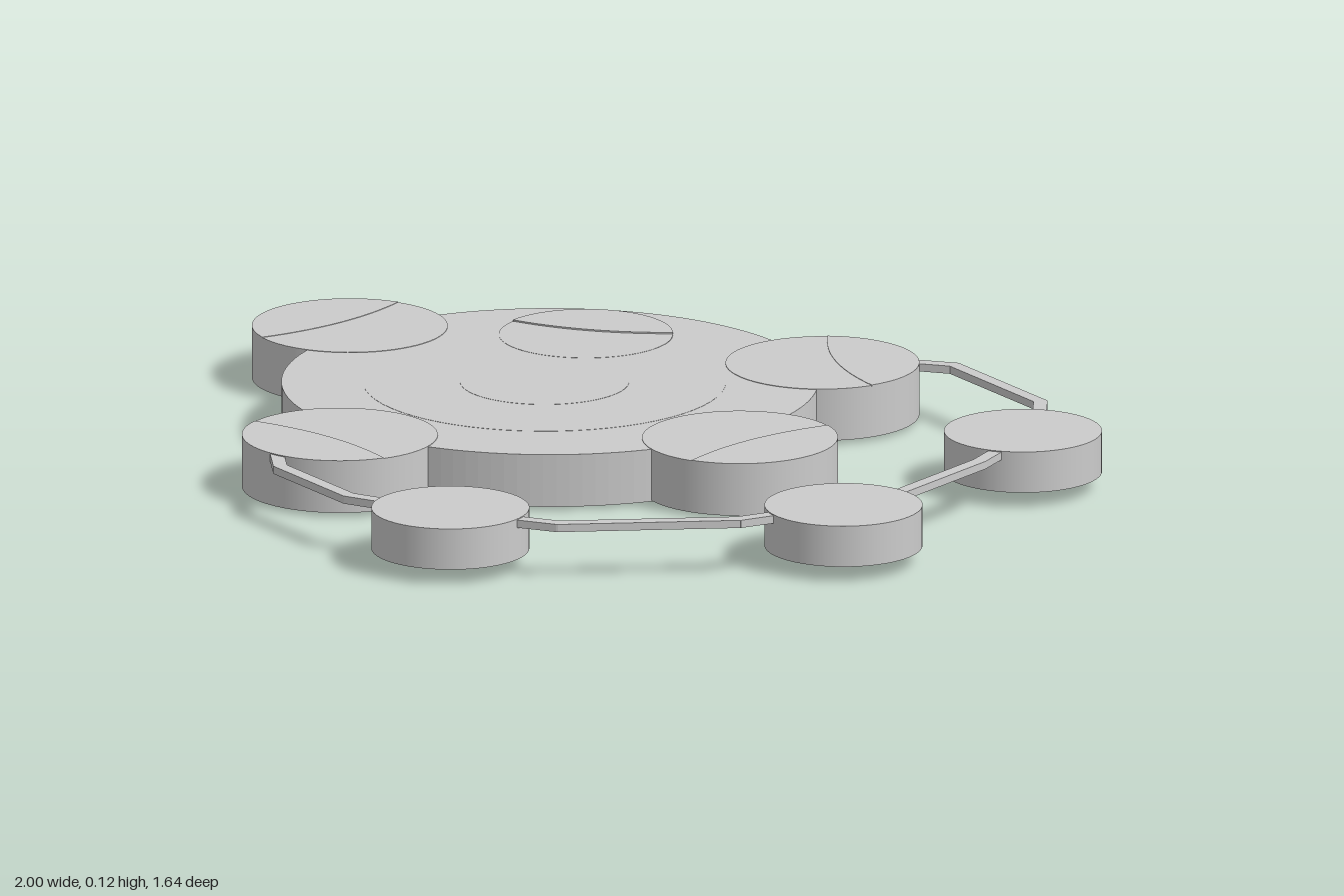
import * as THREE from 'three';

const TOP = 0.116;
const BODY = { x: -0.23, z: -0.13, r: 0.54 };
const POCKET = { x: -0.43, z: -0.42, r: 0.175 };

export function createModel() {
  const group = new THREE.Group();
  const material = new THREE.MeshStandardMaterial({ color: 0xcccccc });

  function add(name, geometry) {
    const mesh = new THREE.Mesh(geometry, material);
    mesh.name = name;
    group.add(mesh);
    return mesh;
  }

  function disc(name, x, z, r, y0, y1) {
    add(name, new THREE.CylinderGeometry(r, r, y1 - y0, 64)).position.set(x, (y0 + y1) / 2, z);
  }

  // Flat plate from an outline in x and z
  function plate(name, shape, y0, y1) {
    const g = new THREE.ExtrudeGeometry(shape, { depth: y1 - y0, bevelEnabled: false, curveSegments: 64 });
    g.rotateX(Math.PI / 2).translate(0, y1, 0);
    add(name, g);
  }

  // Outer end of a round lobe, closed by a curve that bows inward
  function cap(name, x, z, r, angle, y0, y1) {
    const half = Math.acos(0.29);
    const shape = new THREE.Shape();
    shape.absarc(x, z, r, angle - half, angle + half, false);
    shape.quadraticCurveTo(x, z, x + r * Math.cos(angle - half), z + r * Math.sin(angle - half));
    plate(name, shape, y0, y1);
  }

  // Round body with a pocket open at the bottom
  const body = new THREE.Shape().absarc(BODY.x, BODY.z, BODY.r, 0, Math.PI * 2, false);
  body.holes.push(new THREE.Path().absarc(POCKET.x, POCKET.z, POCKET.r, 0, Math.PI * 2, true));
  plate('body', body, 0.006, TOP - 0.001);
  disc('pocketRoof', POCKET.x, POCKET.z, POCKET.r, 0.045, TOP);
  cap('pocketCap', POCKET.x, POCKET.z, POCKET.r, -2.1, TOP - 0.002, TOP + 0.003);

  // Belly plate, trimmed where the pocket crosses it
  const cx = -0.235, cz = -0.12, outline = [];
  for (let i = 0; i < 96; i++) {
    const a = (i / 96) * Math.PI * 2, c = Math.cos(a), s = Math.sin(a);
    const dx = POCKET.x - cx, dz = POCKET.z - cz;
    const along = dx * c + dz * s;
    const gap = POCKET.r ** 2 - (dx * dx + dz * dz - along * along);
    const r = gap > 0 && along > 0 ? Math.min(0.365, along - Math.sqrt(gap)) : 0.365;
    outline.push(new THREE.Vector2(cx + r * c, cz + r * s));
  }
  plate('bellyPlate', new THREE.Shape(outline), 0, 0.02);

  // Nearly flush rounds on the back
  disc('backPlate', cx, cz, 0.365, 0.1, TOP - 0.0005);
  disc('backCentre', cx, cz, 0.17, 0.1, TOP);

  // Four lobes with their end caps: x, z, radius, outward angle
  const lobes = [
    ['rightLobe', -0.803, -0.12, 0.197, Math.PI],
    ['leftLobe', 0.335, -0.12, 0.197, 0],
    ['frontLobe', -0.235, 0.448, 0.197, Math.PI / 2],
    ['backLobe', 0.05, -0.62, 0.195, -1.05],
  ];
  for (const [name, x, z, r, angle] of lobes) {
    disc(name, x, z, r, 0.008, TOP);
    cap(name + 'Cap', x, z, r, angle, TOP - 0.002, TOP + 0.001);
  }

  // Loose discs on the cord
  for (const [x, z] of [[0.693, -0.565], [0.84, 0.073], [0.31, 0.66]]) {
    disc('cordDisc', x, z, 0.159, 0.032, 0.117);
  }

  // Cord runs between the discs, bent at the corners
  const cords = [
    [[0.13, -0.74], [0.24, -0.805], [0.555, -0.745], [0.64, -0.66]],
    [[0.75, -0.45], [0.787, -0.355], [0.845, -0.06]],
    [[0.79, 0.2], [0.764, 0.29], [0.535, 0.575], [0.43, 0.622]],
    [[0.19, 0.71], [0.095, 0.738], [-0.155, 0.69], [-0.24, 0.62]],
  ];
  for (const path of cords) {
    for (let i = 1; i < path.length; i++) {
      const [ax, az] = path[i - 1], [bx, bz] = path[i];
      const length = Math.hypot(bx - ax, bz - az) + 0.008;
      const link = add('cord', new THREE.BoxGeometry(length, 0.016, 0.028));
      link.position.set((ax + bx) / 2, 0.107, (az + bz) / 2);
      link.rotation.y = -Math.atan2(bz - az, bx - ax);
    }
  }

  return group;
}
